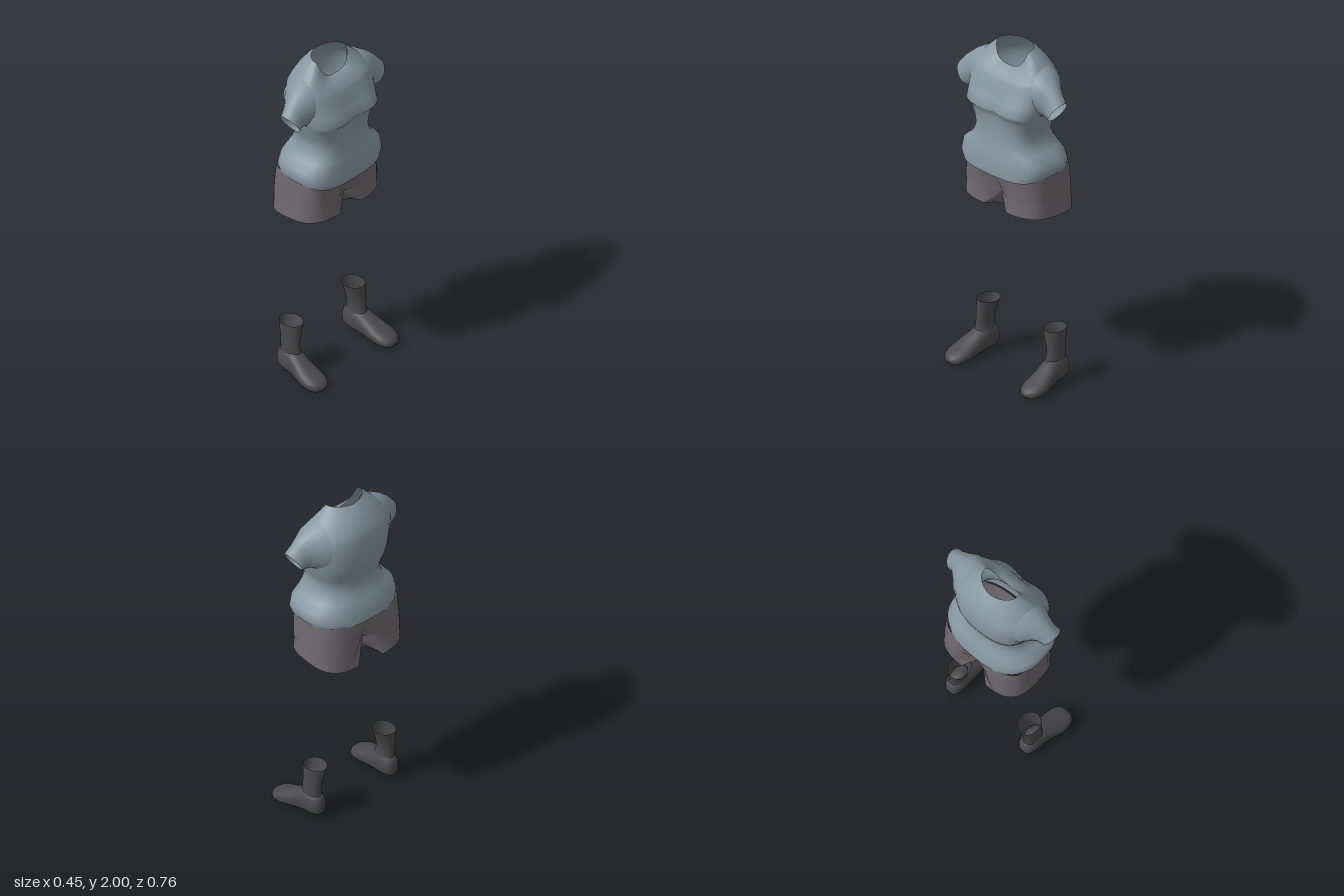
import * as THREE from 'three';

const mat = (name, color) => new THREE.MeshStandardMaterial({ name, color, side: THREE.DoubleSide });

// signed power, for squarish ellipses
const sp = (v, e) => Math.sign(v) * Math.pow(Math.abs(v), e);
const bump = (v, width) => Math.exp(-Math.pow(v / width, 2));

// skin through cross-sections, each an array of [x, y, z]; skip(point) leaves holes
function loft(rings, closed = true, skip = () => false) {
  const n = rings[0].length, idx = [];
  for (let i = 0; i < rings.length - 1; i++) {
    for (let j = 0; j < (closed ? n : n - 1); j++) {
      const k = (j + 1) % n, a = i * n + j, b = i * n + k;
      const centre = rings[i][j].map((v, c) => (v + rings[i + 1][k][c]) / 2);
      if (!skip(centre)) idx.push(a, a + n, b + n, a, b + n, b);
    }
  }
  const g = new THREE.BufferGeometry();
  g.setAttribute('position', new THREE.Float32BufferAttribute(rings.flat(2), 3));
  g.setIndex(idx);
  g.computeVertexNormals();
  return g;
}

// body cross-section: height, front x, back x, half width, drop of the front;
// separate squareness for the front and back halves
const N = 48;
function bodyPoint([y, xf, xb, hz, drop = 0], a, [ef, eb], off = 0) {
  const c = Math.cos(a), e = c > 0 ? ef : eb;
  return [
    (c > 0 ? xf + off : off - xb) * sp(c, e),
    y - drop * Math.pow(Math.max(0, c), 1.5),
    (hz + off) * sp(Math.sin(a), e),
  ];
}

// shirt cross-section, with a shallow hollow between the bust points
function shirtPoint(r, a, e) {
  const p = bodyPoint(r, a, e);
  if (p[0] > 0) p[0] -= 0.022 * bump(r[0] - 1.68, 0.07) * bump(p[2], 0.07);
  return p;
}

// shorts cross-section: like the body, with a cleft deepening towards the crotch
function shortsPoint(r, a, off = 0) {
  const p = bodyPoint(r, a, [0.6, 0.54], off);
  const depth = 0.32 * Math.max(0, (1.28 - r[0]) / 0.14);
  p[0] *= 1 - depth * bump(p[2], 0.05);
  return p;
}
const ring = (fn) => Array.from({ length: N }, (_, j) => fn(j / N * Math.PI * 2));

export function createModel() {
  const model = new THREE.Group();
  const blue = mat('shirt grey blue', 0x8697a2);
  const grey = mat('shorts warm grey', 0x6f696d);
  const dark = mat('boot charcoal', 0x4a4a4c);
  const add = (parent, name, geo, m) => {
    const mesh = new THREE.Mesh(geo, m);
    mesh.name = name;
    parent.add(mesh);
  };

  // shirt torso, hem to neckline, with armholes left open
  const torso = [
    [1.295, 0.2, -0.222, 0.285, 0.025], [1.33, 0.202, -0.218, 0.3, 0.02], [1.38, 0.194, -0.205, 0.29],
    [1.42, 0.184, -0.187, 0.242], [1.46, 0.177, -0.168, 0.213], [1.51, 0.17, -0.153, 0.2],
    [1.56, 0.17, -0.163, 0.213], [1.61, 0.177, -0.18, 0.232], [1.64, 0.19, -0.188, 0.238],
    [1.665, 0.214, -0.193, 0.247], [1.72, 0.182, -0.197, 0.255], [1.76, 0.163, -0.197, 0.257],
    [1.80, 0.148, -0.194, 0.257, 0.01], [1.84, 0.135, -0.188, 0.25, 0.02],
    [1.87, 0.125, -0.18, 0.24, 0.03], [1.92, 0.1, -0.156, 0.2, 0.055],
    [1.965, 0.075, -0.122, 0.155, 0.08], [2.0, 0.052, -0.085, 0.118, 0.108],
  ].map((r, i) => ring((a) => shirtPoint(r, a, [0.6, i > 13 ? 0.85 + (i - 13) * 0.07 : 0.78 + 0.005 * i])));
  const armhole = ([x, y, z]) => Math.abs(z) > 0.15 && y > 1.66 && y < 1.87 && x > -0.075 && x < 0.055;
  add(model, 'shirtTorso', loft(torso, true, armhole), blue);

  // shorts: seat section above the leg split
  const hips = [
    [1.14, 0.163, -0.224, 0.287], [1.2, 0.165, -0.222, 0.284],
    [1.26, 0.172, -0.217, 0.281], [1.31, 0.18, -0.208, 0.276],
  ];
  add(model, 'shortsSeat', loft(hips.map((r) => ring((a) => shortsPoint(r, a)))), grey);

  const H = N / 2;
  for (const side of [1, -1]) {
    const half = new THREE.Group();
    half.name = side > 0 ? 'leftSide' : 'rightSide';
    half.scale.z = side;
    model.add(half);

    // sleeve: each section runs from a top point to an underarm point
    const sleeve = [
      // zTop, yTop, zLow, yLow, xFront, xBack
      [0.195, 1.922, 0.215, 1.635, 0.11, -0.14], [0.235, 1.905, 0.238, 1.645, 0.11, -0.12],
      [0.285, 1.872, 0.258, 1.655, 0.092, -0.08], [0.335, 1.828, 0.28, 1.648, 0.08, -0.045],
      [0.38, 1.772, 0.302, 1.648, 0.09, -0.035],
    ].map(([zt, yt, zl, yl, xf, xb]) => Array.from({ length: 24 }, (_, j) => {
      const a = -j / 24 * Math.PI * 2, u = (1 + Math.cos(a)) / 2;
      return [(xf + xb) / 2 + (xf - xb) / 2 * Math.sin(a), yl + (yt - yl) * u, zl + (zt - zl) * u];
    }));
    add(half, 'sleeve', loft(sleeve), blue);

    // shorts leg: outer half follows the hips, inner half hangs from the crotch seam
    const top = [], hem = [];
    const front = shortsPoint(hips[0], 0)[0], back = shortsPoint(hips[0], Math.PI)[0];
    for (let j = 0; j < 2 * H; j++) {
      if (j <= H) {
        const a = j / H * Math.PI;
        const q = bodyPoint([0, 0.163, -0.224, 0.21], a, [0.72, 0.66]);
        top.push(shortsPoint(hips[0], a));
        hem.push([q[0], 1.035 + 0.1 * q[0] + 0.01 * Math.sin(a), 0.085 + q[2]]);
      } else {
        const t = (j - H) / H, s = Math.sin(Math.PI * t), x = -0.224 + 0.387 * t;
        top.push([back + (front - back) * t, 1.14 - 0.1 * Math.pow(s, 0.7), 0]);
        hem.push([x, 1.035 + 0.1 * x - 0.032 * s, Math.min(0.085, 0.022 + 7 * (x + 0.02) ** 2)]);
      }
    }
    const mid = top.map((p, j) => p.map((v, k) => (v + hem[j][k]) / 2));
    add(half, 'shortsLeg', loft([hem, mid, top]), grey);

    // hip pocket panel
    const pocket = hips.map((r) => Array.from({ length: 9 }, (_, j) => shortsPoint(r, 0.72 + j * 0.085, 0.004)));
    add(half, 'hipPocket', loft(pocket, false), grey);

    // boot foot, heel to toe
    const foot = [
      // x, bottom, top, half width, centre z
      [-0.12, 0.08, 0.081, 0.001, 0.262], [-0.117, 0.045, 0.12, 0.026, 0.262], [-0.105, 0.03, 0.15, 0.042, 0.262],
      [-0.07, 0.024, 0.17, 0.053, 0.264], [-0.02, 0.02, 0.172, 0.057, 0.266], [0.025, 0.016, 0.152, 0.06, 0.27],
      [0.07, 0.012, 0.124, 0.066, 0.277], [0.12, 0.007, 0.098, 0.073, 0.283], [0.165, 0.003, 0.079, 0.071, 0.285],
      [0.2, 0.003, 0.064, 0.058, 0.285], [0.219, 0.009, 0.05, 0.036, 0.284], [0.228, 0.027, 0.028, 0.001, 0.284],
    ].map(([x, b, t, w, zc]) => Array.from({ length: 24 }, (_, j) => {
      const a = j / 24 * Math.PI * 2, s = Math.sin(a);
      return [x, (b + t) / 2 + (t - b) / 2 * sp(s, s < 0 ? 0.7 : 1), zc + w * sp(Math.cos(a), 0.85)];
    }));
    add(half, 'bootFoot', loft(foot), dark);

    // open boot shaft
    const shaft = [
      // y, front x, back x, half width, centre z
      [0.14, 0.03, -0.103, 0.045, 0.263], [0.175, 0.022, -0.1, 0.041, 0.266], [0.22, 0.02, -0.105, 0.042, 0.264],
      [0.28, 0.022, -0.113, 0.051, 0.257], [0.33, 0.022, -0.121, 0.06, 0.248],
    ].map(([y, xf, xb, w, zc]) => Array.from({ length: 24 }, (_, j) => {
      const a = j / 24 * Math.PI * 2;
      return [(xf + xb) / 2 + (xf - xb) / 2 * Math.cos(a), y, zc + w * Math.sin(a)];
    }));
    add(half, 'bootShaft', loft(shaft), dark);
  }
  return model;
}
